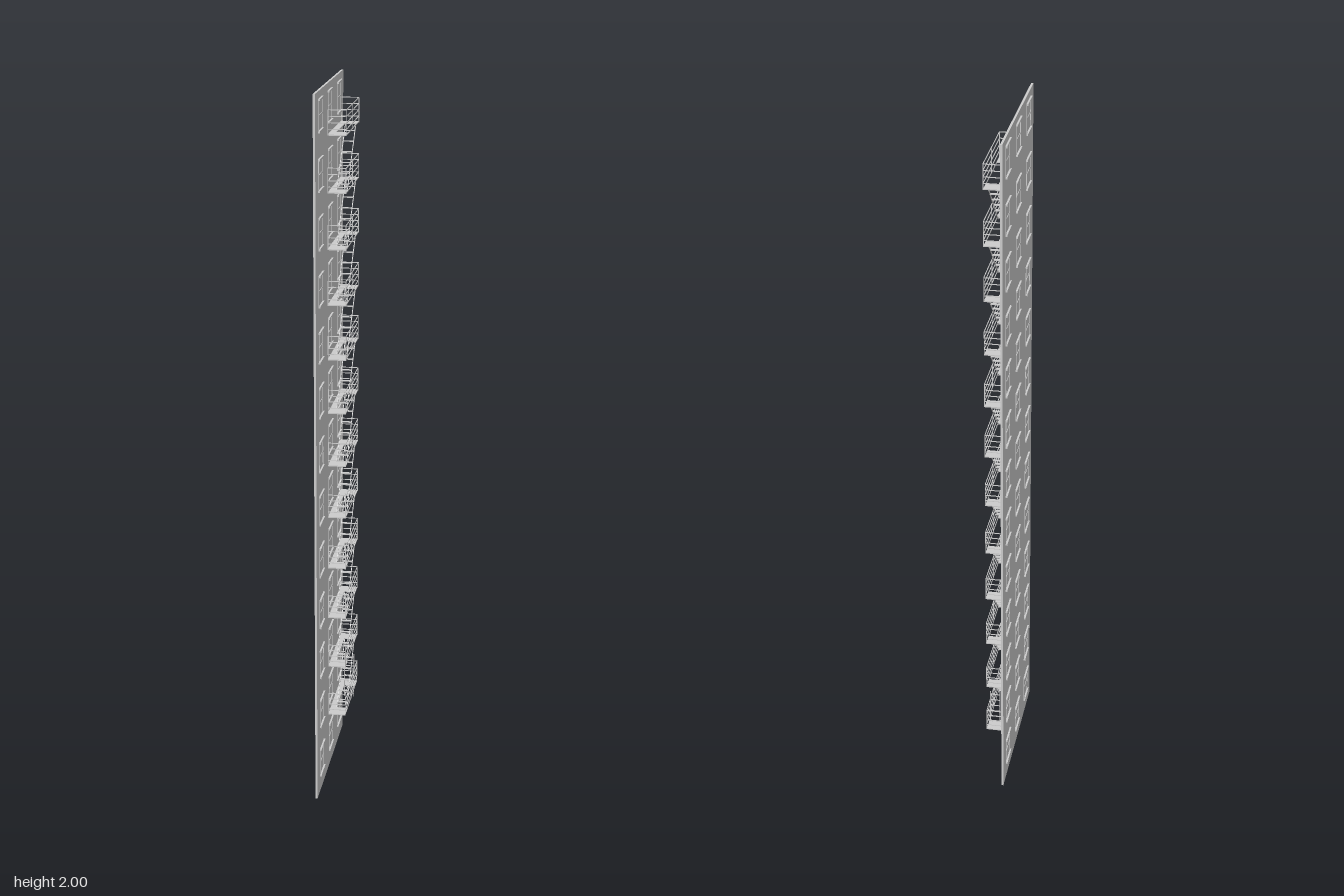
import * as THREE from 'three';

const FLOORS = 13, H = 2 / FLOORS;
const WALL_X = -0.024;
const material = new THREE.MeshStandardMaterial({ color: 0xcccccc, flatShading: true });

// Box spanning the given ranges
function bar(group, name, [x0, x1], [y0, y1], [z0, z1]) {
  const mesh = new THREE.Mesh(new THREE.BoxGeometry(x1 - x0, y1 - y0, z1 - z0), material);
  mesh.position.set((x0 + x1) / 2, (y0 + y1) / 2, (z0 + z1) / 2);
  mesh.name = name;
  group.add(mesh);
  return mesh;
}

const around = (c, size) => [c - size / 2, c + size / 2];

// Window: deep sill and lintel, slim jambs and sash bar; origin at floor level
function createWindow() {
  const g = new THREE.Group();
  g.name = 'window';
  const deep = around(WALL_X, 0.016), slim = around(WALL_X, 0.009);
  bar(g, 'sill', deep, around(0.05, 0.005), [-0.033, 0.033]);
  bar(g, 'lintel', deep, around(0.132, 0.005), [-0.033, 0.033]);
  bar(g, 'sashBar', slim, around(0.091, 0.004), [-0.03, 0.03]);
  for (const s of [-1, 1]) bar(g, 'jamb', slim, [0.05, 0.132], around(s * 0.029, 0.004));
  return g;
}

// Balcony: platform with a stair opening, and a railing on three sides; origin at platform underside
const X0 = -0.021, X1 = 0.029, Z0 = -0.19, Z1 = 0.039, T = 0.002;
const DECK = 0.003, RAIL_H = 0.068;
const HOLE_X = [-0.004, 0.0275], HOLE_Z = [-0.155, -0.005];

function createPlatform() {
  // shape is drawn in x and -z, then laid flat
  const rect = (P, [xa, xb], [za, zb]) => {
    const p = new P();
    p.moveTo(xa, -zb);
    p.lineTo(xb, -zb);
    p.lineTo(xb, -za);
    p.lineTo(xa, -za);
    p.closePath();
    return p;
  };
  const shape = rect(THREE.Shape, [X0, X1], [Z0, Z1]);
  shape.holes.push(rect(THREE.Path, HOLE_X, HOLE_Z));
  const geo = new THREE.ExtrudeGeometry(shape, { depth: DECK, bevelEnabled: false });
  geo.rotateX(-Math.PI / 2);
  const mesh = new THREE.Mesh(geo, material);
  mesh.name = 'platform';
  return mesh;
}

function createBalcony() {
  const g = new THREE.Group();
  g.name = 'balcony';
  g.add(createPlatform());
  const ends = [Z0 + T / 2, Z1 - T / 2];
  for (let i = 1; i <= 4; i++) {
    const y = around((RAIL_H * i) / 4, T);
    bar(g, 'longRail', around(X1, T), y, [Z0, Z1]);
    for (const z of ends) bar(g, 'endRail', [X0, X1], y, around(z, T));
  }
  for (const z of [ends[0], (Z0 + Z1) / 2, ends[1]])
    bar(g, 'outerPost', around(X1, T), [0, RAIL_H], around(z, T));
  for (const z of ends) bar(g, 'wallPost', [X0, X0 + T], [0, RAIL_H], around(z, T));
  return g;
}

// Stair rising one storey towards the back; origin at the lower platform
const STRINGERS = [-0.003, 0.0255];

function createStair() {
  const g = new THREE.Group();
  g.name = 'stair';
  const [zTop, zFoot] = HOLE_Z;
  const run = zFoot - zTop;
  for (const x of STRINGERS) {
    const s = bar(g, 'stringer', around(x, 0.002), around(H / 2, 0.004), around((zTop + zFoot) / 2, Math.hypot(run, H)));
    s.rotation.x = Math.atan2(H, run);
  }
  for (let i = 1; i <= 6; i++) {
    const t = (i - 0.4) / 6.2;
    bar(g, 'tread', STRINGERS, around(t * H, 0.002), around(zFoot - t * run, 0.008));
  }
  return g;
}

// Drop ladder hanging through the lowest platform
function createLadder() {
  const g = new THREE.Group();
  g.name = 'dropLadder';
  const z = -0.15;
  for (const x of STRINGERS) bar(g, 'ladderSide', around(x, 0.002), [0.14, 0.28], around(z, 0.003));
  for (let i = 0; i < 7; i++) bar(g, 'rung', STRINGERS, around(0.15 + i * 0.02, 0.002), around(z, 0.002));
  return g;
}

export function createModel() {
  const model = new THREE.Group();
  model.name = 'fireEscapeWall';
  bar(model, 'wall', around(WALL_X, 0.006), [0, 2], [-0.23, 0.23]);

  for (let f = 0; f < FLOORS; f++) {
    for (const z of [-0.155, -0.001, 0.153]) {
      const w = createWindow();
      w.position.set(0, f * H, z);
      model.add(w);
    }
    if (f === 0) continue;
    const y = f * H + 0.017;
    const balcony = createBalcony();
    balcony.position.y = y;
    model.add(balcony);
    if (f < FLOORS - 1) {
      const stair = createStair();
      stair.position.y = y;
      model.add(stair);
    }
  }
  model.add(createLadder());
  return model;
}
